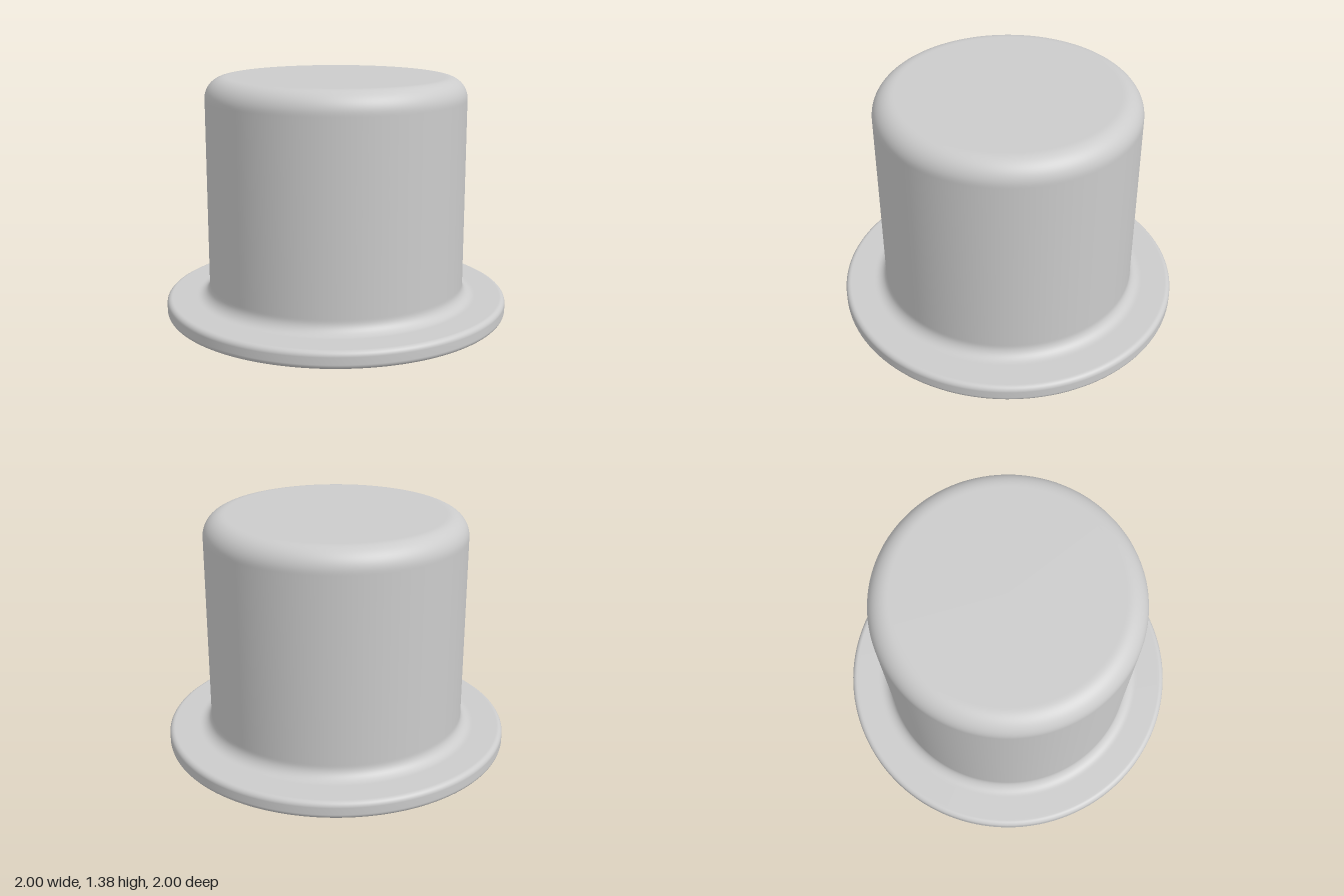
import * as THREE from 'three';

// Points on a rounded corner, angles in degrees
function arc(cx, cy, r, from, to, steps = 10) {
  return Array.from({ length: steps + 1 }, (_, i) => {
    const a = THREE.MathUtils.degToRad(from + (to - from) * i / steps);
    return new THREE.Vector2(cx + r * Math.cos(a), cy + r * Math.sin(a));
  });
}

export function createModel() {
  const group = new THREE.Group();
  group.name = 'topHat';
  const material = new THREE.MeshStandardMaterial({ color: 0xcccccc, side: THREE.DoubleSide });

  // Thin open shell: rim lip, flat brim, flared base, straight wall, rounded top
  const profile = [
    ...arc(0.97, 0.03, 0.03, -90, 0),
    ...arc(0.97, 0.07, 0.03, 0, 90),
    new THREE.Vector2(0.96, 0.1),
    new THREE.Vector2(0.83, 0.1),
    ...arc(0.82, 0.17, 0.07, 270, 180),
    new THREE.Vector2(0.75, 0.18),
    new THREE.Vector2(0.75, 1.25),
    ...arc(0.63, 1.26, 0.12, 0, 90, 14),
    new THREE.Vector2(0.62, 1.38),
    new THREE.Vector2(0, 1.38),
  ];
  const shell = new THREE.Mesh(new THREE.LatheGeometry(profile, 128), material);
  shell.name = 'brimAndCrown';
  group.add(shell);
  return group;
}
